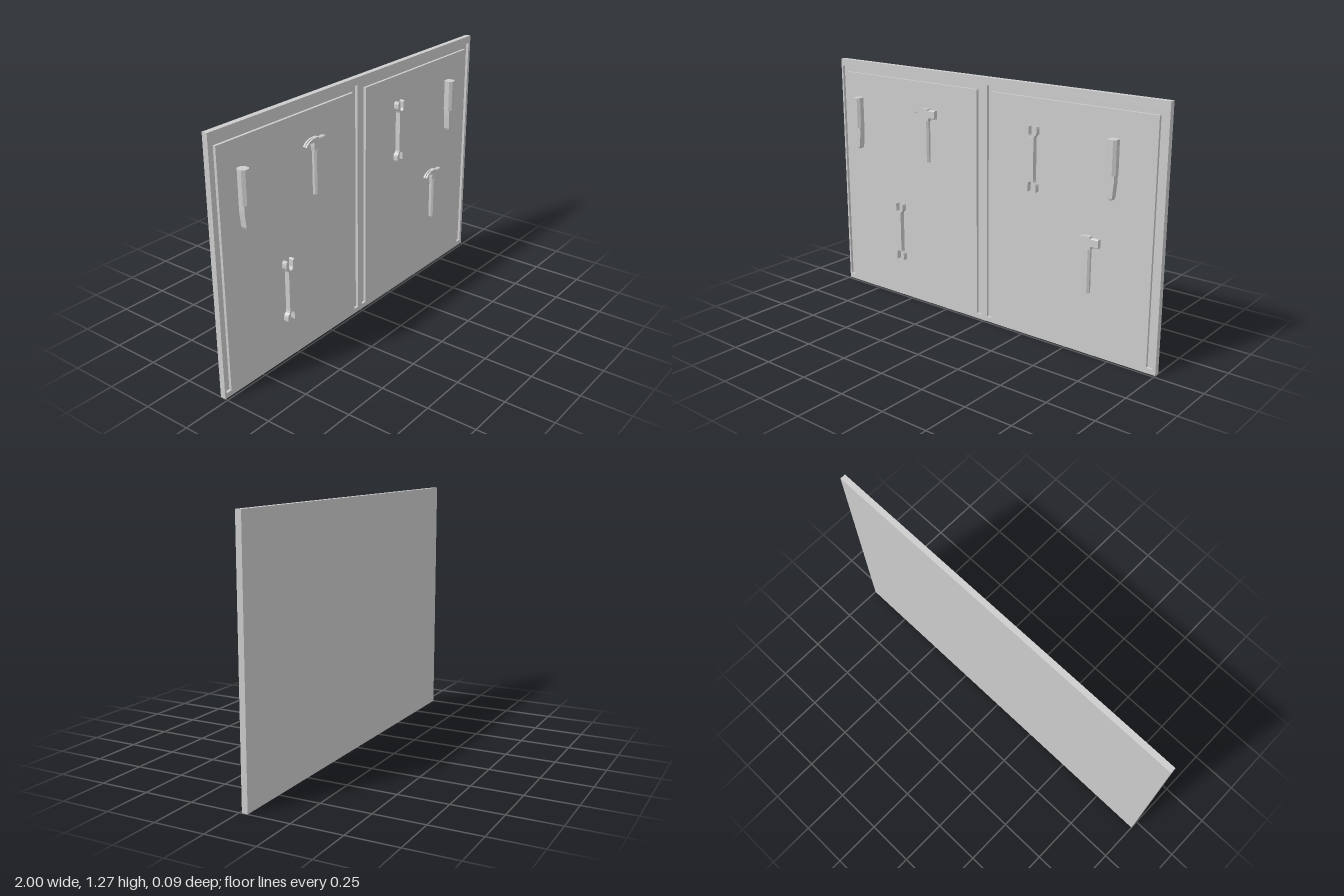
import * as THREE from 'three';

const material = new THREE.MeshStandardMaterial({ color: 0xcccccc, flatShading: true });

function add(parent, name, geometry, x = 0, y = 0, z = 0) {
  const mesh = new THREE.Mesh(geometry, material);
  mesh.name = name;
  mesh.position.set(x, y, z);
  parent.add(mesh);
  return mesh;
}

function polygon(points) {
  return new THREE.Shape(points.map(([x, y]) => new THREE.Vector2(x, y)));
}

function slab(shape, depth, curveSegments = 6) {
  return new THREE.ExtrudeGeometry(shape, { depth, bevelEnabled: false, curveSegments });
}

// Square bar with chamfered corners, running along y from 0 to length
function chamferedBar(w, d, c, length) {
  const x = w / 2, z = d / 2;
  const shape = polygon([[x - c, -z], [x, -z + c], [x, z - c], [x - c, z],
    [-x + c, z], [-x, z - c], [-x, -z + c], [-x + c, -z]]);
  return slab(shape, length).rotateX(-Math.PI / 2);
}

// Backboard whose front layer is cut by two upside-down U grooves
function createBoard() {
  const board = new THREE.Group();
  board.name = 'board';
  const front = polygon([[-1, 0], [1, 0], [1, 1.275], [-1, 1.275]]);
  for (const [l, r] of [[-0.99, -0.02], [0.015, 0.982]]) {
    const t = 0.031;
    front.holes.push(polygon([[l, 0.027], [l, 1.237], [r, 1.237], [r, 0.027],
      [r - t, 0.027], [r - t, 1.208], [l + t, 1.208], [l + t, 0.027]]));
  }
  add(board, 'groovedFront', slab(front, 0.014), 0, 0, -0.027);
  add(board, 'backPanel', new THREE.BoxGeometry(2, 1.275, 0.015), 0, 0.6375, -0.0345);
  return board;
}

// Screwdriver, tip at y = 0
function createScrewdriver() {
  const tool = new THREE.Group();
  tool.name = 'screwdriver';
  add(tool, 'handle', chamferedBar(0.048, 0.05, 0.013, 0.163), 0, 0.117, 0.02);
  // Blade: narrows in x toward the tip, stays broad in z
  const blade = new THREE.BoxGeometry(0.034, 0.122, 0.032, 1, 12, 1).translate(0, 0.061, 0);
  const p = blade.attributes.position;
  for (let i = 0; i < p.count; i++) {
    const y = p.getY(i);
    const k = y < 0.005 ? 0.3 : Math.min(1, 0.52 + 0.48 * y / 0.085);
    p.setX(i, p.getX(i) * k);
    if (y < 0.005) p.setZ(i, p.getZ(i) * 0.75);
  }
  add(tool, 'blade', blade, 0, 0, 0.017);
  return tool;
}

// Claw hammer, handle end at y = 0
function createHammer() {
  const tool = new THREE.Group();
  tool.name = 'hammer';
  add(tool, 'handle', chamferedBar(0.032, 0.029, 0.009, 0.22), 0, 0, 0.007);
  const neck = polygon([[-0.017, 0.216], [0.017, 0.216], [0.019, 0.232], [0.026, 0.238],
    [0.026, 0.268], [0.016, 0.27], [0.012, 0.28], [-0.012, 0.28], [-0.02, 0.27], [-0.02, 0.24]]);
  add(tool, 'head', slab(neck, 0.023), 0, 0, -0.004);
  add(tool, 'strikingFace', chamferedBar(0.044, 0.023, 0.004, 0.04).rotateZ(-Math.PI / 2), 0.02, 0.252, 0.0075);
  // Curved claw made of two prongs
  const claw = new THREE.Shape();
  claw.moveTo(-0.012, 0.28);
  claw.quadraticCurveTo(-0.052, 0.279, -0.074, 0.25);
  claw.quadraticCurveTo(-0.05, 0.266, -0.018, 0.258);
  claw.closePath();
  for (const z of [-0.004, 0.0095]) add(tool, 'clawProng', slab(claw, 0.0095), 0, 0, z);
  return tool;
}

// Double open-ended wrench, centred on y = 0
function createWrench() {
  const tool = new THREE.Group();
  tool.name = 'wrench';
  // One quarter of the outline, from the shaft to the bottom of the jaw
  const quarter = [[0.0165, 0.102], [0.02, 0.112], [0.03, 0.121], [0.033, 0.13], [0.033, 0.15],
    [0.029, 0.159], [0.021, 0.162], [0.014, 0.157], [0.0135, 0.12], [0.009, 0.112], [0, 0.108]];
  const right = quarter, left = quarter.slice(0, -1).reverse().map(([x, y]) => [-x, y]);
  const half = [...right, ...left];
  const outline = [...half, ...half.map(([x, y]) => [-x, -y])];
  add(tool, 'wrenchBody', slab(polygon(outline), 0.026), 0, 0, -0.004);
  return tool;
}

export function createModel() {
  const model = new THREE.Group();
  model.name = 'toolBoard';
  model.add(createBoard());
  const layout = [
    [createScrewdriver, -0.843, 0.803], [createScrewdriver, 0.75, 0.803],
    [createHammer, -0.361, 0.8], [createHammer, 0.629, 0.325],
    [createWrench, 0.303, 0.92], [createWrench, -0.568, 0.378],
  ];
  for (const [create, x, y] of layout) {
    const tool = create();
    tool.position.set(x, y, 0);
    model.add(tool);
  }
  return model;
}
